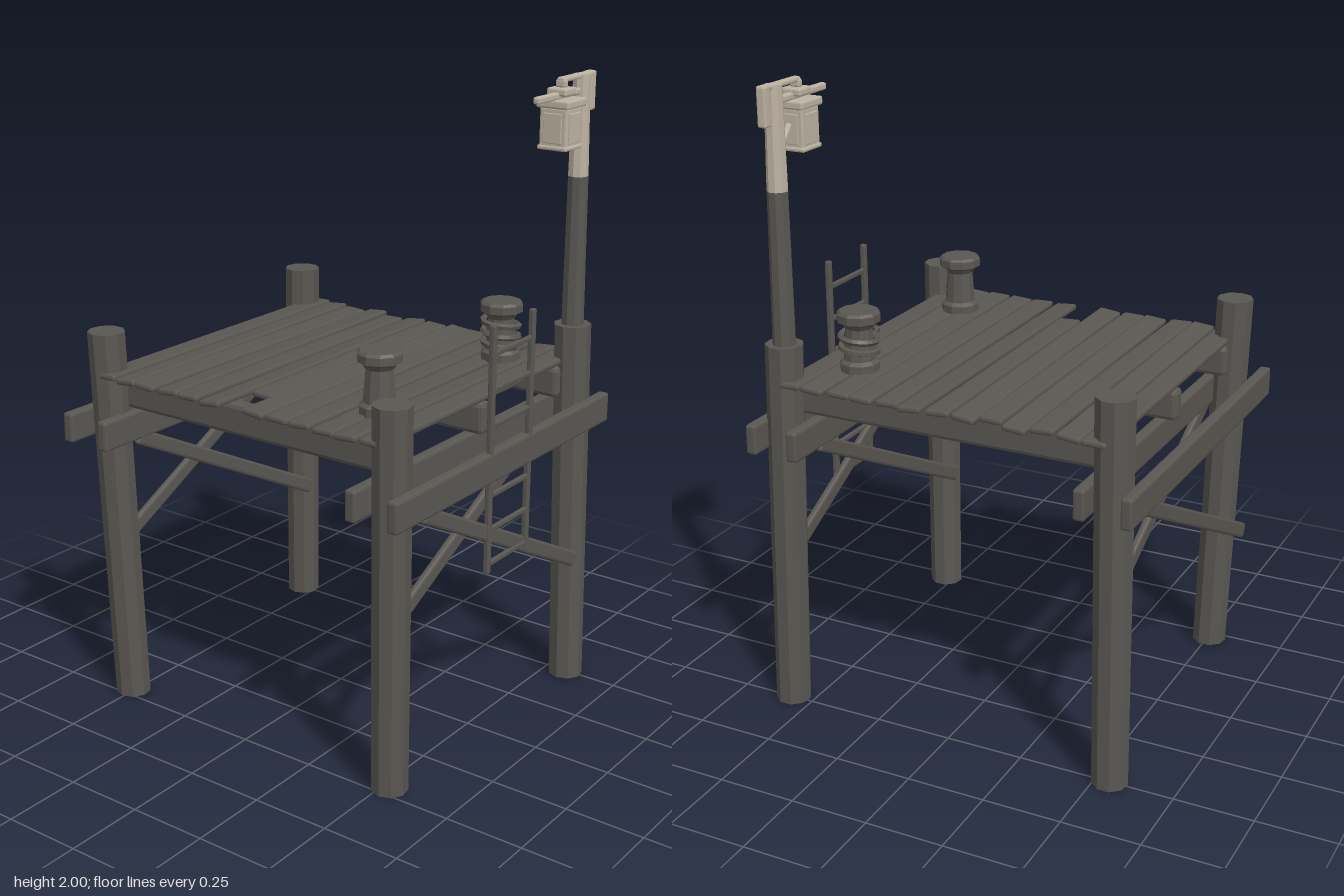
import * as THREE from 'three';
import { RoundedBoxGeometry } from 'three/addons/geometries/RoundedBoxGeometry.js';

export function createModel() {
  const model = new THREE.Group();
  model.name = 'pier';

  const material = (name, color) => {
    const m = new THREE.MeshStandardMaterial({ color });
    m.name = name;
    return m;
  };
  const darkWood = material('dark wood', 0x5a5752);
  const paleWood = material('pale wood', 0xbdb3a2);

  // Faceted mesh with one normal per face
  const add = (name, geometry, mat = darkWood, parent = model) => {
    const flat = geometry.index ? geometry.toNonIndexed() : geometry;
    flat.computeVertexNormals();
    const mesh = new THREE.Mesh(flat, mat);
    mesh.name = name;
    parent.add(mesh);
    return mesh;
  };

  // Timber with bevelled edges
  const beam = (name, w, h, d, x, y, z, mat, parent, bevel = 0.008) => {
    const radius = Math.min(bevel, Math.min(w, h, d) * 0.35);
    const mesh = add(name, new RoundedBoxGeometry(w, h, d, 1, radius), mat, parent);
    mesh.position.set(x, y, z);
    return mesh;
  };

  // Leaning post, sheared so that its ends stay level
  const post = (name, x0, z0, x1, z1, y0, y1, r0, r1, mat) => {
    const g = new THREE.CylinderGeometry(r1, r0, y1 - y0, 9);
    const p = g.attributes.position;
    for (let i = 0; i < p.count; i++) {
      const t = p.getY(i) / (y1 - y0) + 0.5;
      p.setX(i, p.getX(i) + x0 + (x1 - x0) * t);
      p.setZ(i, p.getZ(i) + z0 + (z1 - z0) * t);
      p.setY(i, y0 + (y1 - y0) * t);
    }
    return add(name, g, mat);
  };

  // Corner posts: bottom x, z, top x, z, height
  [
    [-0.505, 0.465, -0.537, 0.488, 1.23],
    [0.525, 0.465, 0.538, 0.488, 1.21],
    [-0.547, -0.5, -0.539, -0.495, 1.23],
    [0.57, -0.495, 0.545, -0.488, 1.215],
  ].forEach(([x0, z0, x1, z1, h]) => post('cornerPost', x0, z0, x1, z1, 0, h, 0.056, 0.059));

  // Paired side beams clamping the posts
  for (const x of [-0.617, -0.473, 0.47, 0.613]) {
    beam('sideBeam', 0.036, 0.096, 1.19, x, 0.926, 0);
  }

  // Joists under the deck
  for (const z of [-0.435, 0, 0.435]) {
    beam('joist', 1.08, 0.1, 0.054, 0, 1.033, z, darkWood, model, 0.014);
  }

  // Crossed braces on both sides, one outside the posts and one inside
  for (const side of [-1, 1]) {
    for (const [x, dir] of [[0.612, side], [0.468, -side]]) {
      const brace = beam('brace', 0.024, 0.05, 0.98, side * x, 0.665, 0);
      brace.rotation.x = -dir * 0.468;
    }
  }

  // Deck planks: back end, front end, yaw and roll
  [
    [-0.56, 0.54, 0, 0.03], [-0.55, 0.545, 0.006, 0.1], [-0.535, 0.545, -0.005, -0.04],
    [-0.56, 0.54, 0.008, 0.09], [-0.525, 0.54, -0.004, 0.03], [-0.55, 0.545, 0.009, 0.12],
    [-0.545, 0.395, 0.004, -0.05], [-0.555, 0.54, -0.005, -0.09], [-0.545, 0.54, 0.004, -0.03],
    [-0.55, 0.54, -0.002, 0.06], [-0.545, 0.545, 0.006, 0.04], [-0.55, 0.545, -0.006, 0.08],
    [-0.545, 0.54, -0.003, -0.03],
  ].forEach(([back, front, yaw, roll], i) => {
    const plank = beam('plank', 0.074, 0.02, front - back, -0.501 + i * 0.0835, 1.1, (front + back) / 2);
    plank.rotation.set(0, yaw, roll);
  });

  // Mooring bollards
  const profile = [
    [0, 0], [0.062, 0], [0.062, 0.026], [0.05, 0.036], [0.042, 0.135],
    [0.052, 0.15], [0.068, 0.158], [0.068, 0.182], [0.06, 0.19], [0, 0.19],
  ].map(([r, y]) => new THREE.Vector2(r, y));
  for (const z of [-0.33, 0.325]) {
    add('bollard', new THREE.LatheGeometry(profile, 10)).position.set(0.379, 1.108, z);
  }

  // Rope coiled around the back bollard
  const coil = [];
  for (let i = 0; i <= 32; i++) {
    const a = (i / 32) * Math.PI * 5;
    coil.push(new THREE.Vector3(Math.cos(a) * 0.056, 0.045 + (i / 32) * 0.085, Math.sin(a) * 0.056));
  }
  const rope = add('rope', new THREE.TubeGeometry(new THREE.CatmullRomCurve3(coil), 64, 0.01, 5));
  rope.position.set(0.379, 1.108, -0.33);

  // Ladder on the left side
  const ladder = new THREE.Group();
  ladder.name = 'ladder';
  model.add(ladder);
  for (const z of [-0.108, 0.108]) {
    beam('ladderRail', 0.018, 0.77, 0.02, 0.621, 0.976, z, darkWood, ladder, 0.004);
  }
  for (let i = 0; i < 7; i++) {
    beam('ladderRung', 0.014, 0.016, 0.21, 0.621, 0.62 + i * 0.109, 0, darkWood, ladder, 0.004);
  }

  // Lamp post, dark below and pale on top
  post('lampPost', 0.543, -0.49, 0.541, -0.489, 1.2, 1.685, 0.036, 0.032);
  post('lampPostTop', 0.541, -0.489, 0.54, -0.487, 1.685, 1.995, 0.032, 0.027, paleWood);

  // Lantern with its bracket
  const lantern = new THREE.Group();
  lantern.name = 'lantern';
  model.add(lantern);
  [
    ['bracketPlate', 0.03, 0.12, 0.034, 1.94, -0.538],
    ['topArm', 0.026, 0.016, 0.19, 1.991, -0.455],
    ['lowerArm', 0.022, 0.022, 0.25, 1.946, -0.345],
    ['lanternBody', 0.092, 0.125, 0.092, 1.851, -0.369],
    ['lanternBase', 0.1, 0.014, 0.1, 1.793, -0.369],
    ['lanternRoof', 0.11, 0.026, 0.114, 1.924, -0.37],
    ['lanternCap', 0.066, 0.024, 0.066, 1.957, -0.369],
    ['lanternHook', 0.034, 0.026, 0.02, 1.98, -0.369],
  ].forEach(([name, w, h, d, y, z]) => beam(name, w, h, d, 0.54, y, z, paleWood, lantern, 0.006));
  const strut = beam('bracketStrut', 0.018, 0.018, 0.15, 0.54, 1.85, -0.425, paleWood, lantern, 0.004);
  strut.rotation.x = -0.85;

  // Lantern panes
  for (let i = 0; i < 4; i++) {
    const a = (i * Math.PI) / 2;
    const pane = beam('lanternPane', 0.062, 0.09, 0.006,
      0.54 + Math.sin(a) * 0.047, 1.852, -0.369 + Math.cos(a) * 0.047, paleWood, lantern, 0.002);
    pane.rotation.y = a;
  }

  return model;
}
